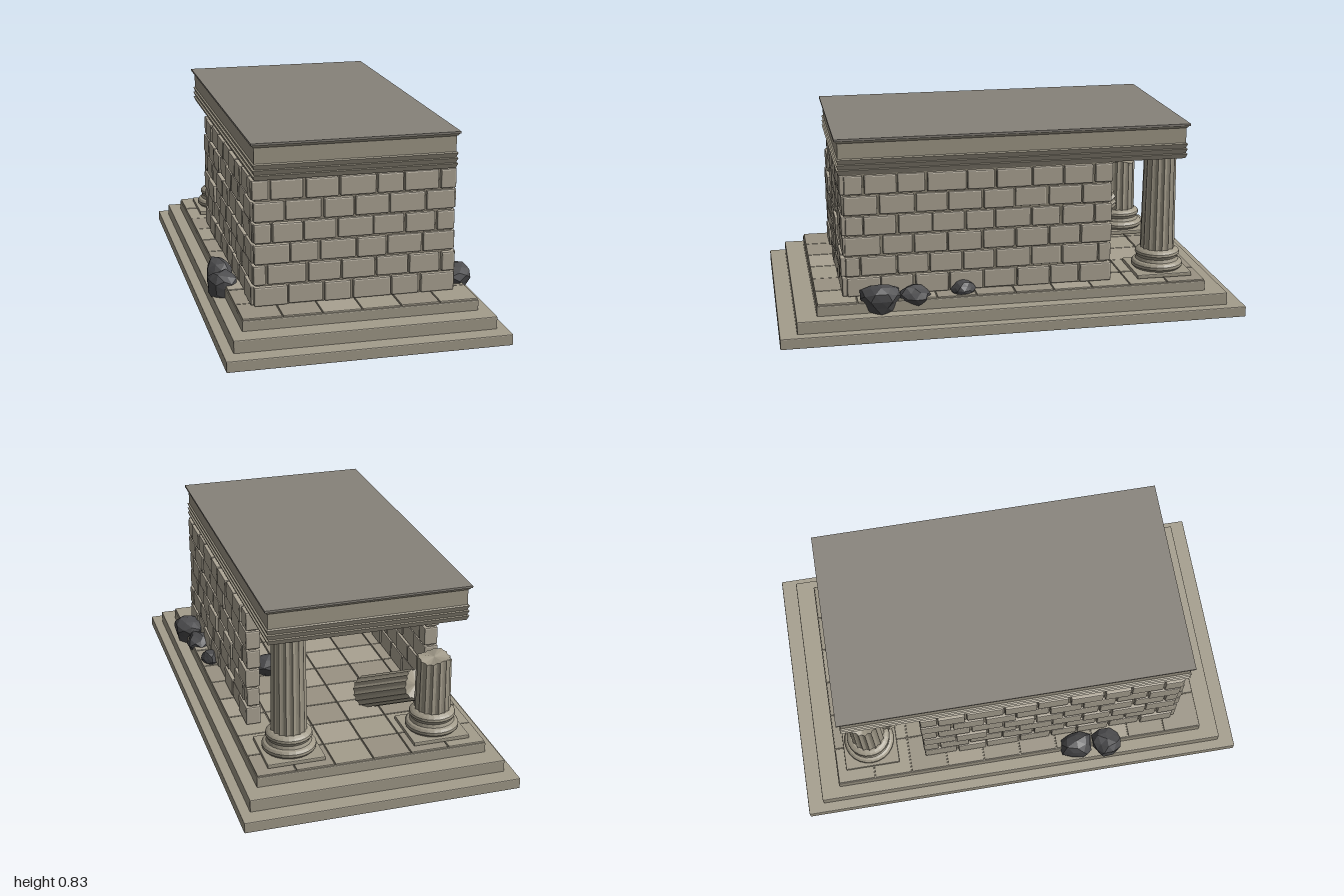
import * as THREE from 'three';
import { RoundedBoxGeometry } from 'three/addons/geometries/RoundedBoxGeometry.js';

const mat = (color) => new THREE.MeshStandardMaterial({ color, flatShading: true });
const stepMat = mat(0xa49d8c), blockMat = mat(0xb0a898), trimMat = mat(0xa19a89);
const roofMat = mat(0x87827a), rockMat = mat(0x4c4c4e), jointMat = mat(0x8f8878);
const tileMats = [mat(0xa49d8c), mat(0xa9a291), mat(0x9a9383)];

let seed = 7;
const rnd = () => (seed = (seed * 16807) % 2147483647) / 2147483647;
const jitter = (a) => (rnd() * 2 - 1) * a;

function add(parent, name, geo, material, x = 0, y = 0, z = 0) {
  const m = new THREE.Mesh(geo, material);
  m.name = name;
  m.position.set(x, y, z);
  parent.add(m);
  return m;
}

function group(parent, name) {
  const g = new THREE.Group();
  g.name = name;
  parent.add(g);
  return g;
}

// Closed profile of [offset, y] points swept around a rectangle
function rectSweep(profile, hx, hz) {
  const corners = [[1, 1], [1, -1], [-1, -1], [-1, 1]];
  const at = ([o, y], [sx, sz]) => [sx * (hx + o), y, sz * (hz + o)];
  const pos = [];
  profile.forEach((p, i) => {
    const q = profile[(i + 1) % profile.length];
    corners.forEach((c, k) => {
      const n = corners[(k + 1) % 4];
      const a = at(p, c), b = at(p, n), d = at(q, n), e = at(q, c);
      pos.push(...a, ...b, ...d, ...a, ...d, ...e);
    });
  });
  const g = new THREE.BufferGeometry();
  g.setAttribute('position', new THREE.Float32BufferAttribute(pos, 3));
  g.computeVertexNormals();
  return g;
}

// Shaft with 16 concave flutes, optionally with a broken upper end
function flutedShaft(rTop, rBottom, h, broken = 0) {
  const g = new THREE.CylinderGeometry(rTop, rBottom, h, 64, 1);
  const p = g.attributes.position;
  for (let i = 0; i < p.count; i++) {
    const x = p.getX(i), z = p.getZ(i), a = Math.atan2(z, x);
    const s = 1 - 0.1 * Math.abs(Math.sin(a * 8));
    p.setX(i, x * s);
    p.setZ(i, z * s);
    if (p.getY(i) > 0) p.setY(i, h / 2 + broken * Math.sin(a * 3 + 1) * Math.hypot(x, z) / rTop);
  }
  g.computeVertexNormals();
  return g;
}

// Angular boulder with vertices pushed by a smooth rule of their direction
function rock(parent, x, y, z, sx, sy, sz, turn) {
  const g = new THREE.IcosahedronGeometry(1, 1);
  const p = g.attributes.position, v = new THREE.Vector3();
  for (let i = 0; i < p.count; i++) {
    v.fromBufferAttribute(p, i);
    const k = 0.95 + 0.14 * Math.sin(4 * v.x + turn * 3) * Math.cos(3 * v.z + turn) + 0.08 * Math.sin(5 * v.y + turn);
    p.setXYZ(i, v.x * k * sx, v.y * k * sy, v.z * k * sz);
  }
  g.computeVertexNormals();
  add(parent, 'boulder', g, rockMat, x, y, z);
}

// Masonry wall along local x, outer face at local z = 0 facing +z
function wall(parent, name, length, perRow) {
  const g = group(parent, name);
  const rows = 6, y0 = 0.15, rowH = 0.53 / rows, depth = 0.06, gap = 0.007;
  add(g, 'wallCore', new THREE.BoxGeometry(length - 0.03, 0.53, depth - 0.028), jointMat, 0, y0 + 0.265, -depth / 2);
  const w = length / perRow;
  for (let r = 0; r < rows; r++) {
    const edges = [-length / 2];
    for (let i = 1; i <= perRow; i++) {
      const e = -length / 2 + (i - (r % 2 ? 0.5 : 0)) * w;
      if (e < length / 2 - 0.01) edges.push(e + jitter(0.014));
    }
    edges.push(length / 2);
    for (let i = 0; i + 1 < edges.length; i++) {
      const bw = edges[i + 1] - edges[i] - gap;
      const geo = new RoundedBoxGeometry(bw, rowH - gap, depth + jitter(0.006), 1, 0.006);
      add(g, 'wallBlock', geo, blockMat, (edges[i] + edges[i + 1]) / 2 + jitter(0.003), y0 + (r + 0.5) * rowH, -depth / 2 + jitter(0.005));
    }
  }
  return g;
}

function columnBase(parent, x, z) {
  const base = group(parent, 'columnBase');
  base.position.set(x, 0.15, z);
  add(base, 'plinth', new RoundedBoxGeometry(0.245, 0.018, 0.245, 1, 0.004), trimMat, 0, 0.009, 0);
  const profile = [[0, 0.018], [0.105, 0.018], [0.113, 0.028], [0.113, 0.04], [0.105, 0.05], [0.095, 0.054],
    [0.09, 0.068], [0.093, 0.075], [0.098, 0.083], [0.096, 0.093], [0.088, 0.1], [0.078, 0.106], [0, 0.106]];
  add(base, 'baseMoulding', new THREE.LatheGeometry(profile.map((p) => new THREE.Vector2(...p)), 24), trimMat);
}

export function createModel() {
  const model = new THREE.Group();
  model.name = 'ruinedTemple';

  // Stepped platform
  const platform = group(model, 'platform');
  [[0.585, 1, 0, 0.047], [0.543, 0.928, 0.04, 0.1], [0.492, 0.842, 0.09, 0.144]].forEach(([hx, hz, y0, y1]) =>
    add(platform, 'step', new RoundedBoxGeometry(hx * 2, y1 - y0, hz * 2, 1, 0.004), stepMat, 0, (y0 + y1) / 2, 0));

  // Paving on the top step
  const nx = 6, nz = 10, tx = 0.98 / nx, tz = 1.68 / nz;
  for (let i = 0; i < nx; i++) for (let j = 0; j < nz; j++) {
    add(platform, 'floorTile', new RoundedBoxGeometry(tx - 0.004, 0.014, tz - 0.004, 1, 0.003),
      tileMats[Math.floor(rnd() * 3)], (i + 0.5) * tx - 0.49, 0.144 + jitter(0.001), (j + 0.5) * tz - 0.84);
  }

  // Walls: closed at the front, open at the back
  const walls = group(model, 'walls');
  wall(walls, 'frontWall', 0.85, 6).position.z = 0.727;
  for (const s of [1, -1]) {
    const side = wall(walls, s > 0 ? 'leftWall' : 'rightWall', 1.15, 8);
    side.rotation.y = s * Math.PI / 2;
    side.position.set(s * 0.427, 0, 0.14);
  }

  // Columns, one whole and one snapped, with the fallen length leaning on it
  const columns = group(model, 'columns');
  const cx = 0.313, cz = -0.675;
  for (const s of [1, -1]) columnBase(columns, s * cx, cz);
  add(columns, 'wholeShaft', flutedShaft(0.07, 0.076, 0.435), trimMat, cx, 0.4675, cz);
  add(columns, 'brokenShaft', flutedShaft(0.073, 0.076, 0.24, 0.008), trimMat, -cx, 0.37, cz);
  const from = new THREE.Vector3(-0.12, 0.195, -0.36), to = new THREE.Vector3(-0.265, 0.33, -0.6);
  const dir = to.clone().sub(from);
  const fallen = add(columns, 'fallenShaft', flutedShaft(0.068, 0.071, dir.length(), 0.008), trimMat);
  fallen.position.copy(from).addScaledVector(dir, 0.5);
  fallen.quaternion.setFromUnitVectors(new THREE.Vector3(0, 1, 0), dir.normalize());

  // Entablature: three flared bands, plain frieze and cornice
  const top = group(model, 'entablature');
  top.position.z = -0.012;
  const profile = [];
  for (let i = 0; i < 3; i++) profile.push([-0.015, 0.68 + i * 0.022], [-0.007, 0.7 + i * 0.022]);
  profile.push([-0.014, 0.748], [-0.014, 0.813], [-0.008, 0.818], [-0.004, 0.826],
    [-0.13, 0.826], [-0.13, 0.715], [-0.1, 0.715], [-0.1, 0.68]);
  add(top, 'beamRing', rectSweep(profile, 0.43, 0.757), trimMat);
  add(top, 'ceiling', new THREE.BoxGeometry(0.62, 0.06, 1.27), roofMat, 0, 0.795, 0);
  add(top, 'roofSlab', new THREE.BoxGeometry(0.86, 0.009, 1.514), roofMat, 0, 0.8295, 0);

  // Boulders outside both long walls and inside the room
  const rocks = group(model, 'boulders');
  [[0.475, 0.16, 0.575, 0.075, 0.066, 0.09], [0.455, 0.15, 0.43, 0.055, 0.055, 0.07],
    [0.445, 0.165, 0.22, 0.04, 0.037, 0.05], [-0.485, 0.145, 0.26, 0.065, 0.062, 0.085],
    [-0.495, 0.135, 0.4, 0.07, 0.068, 0.072], [0.205, 0.18, 0.04, 0.09, 0.055, 0.08],
    [0.1, 0.165, 0.175, 0.04, 0.03, 0.035]].forEach((r, i) => rock(rocks, ...r, i * 1.3));

  return model;
}
